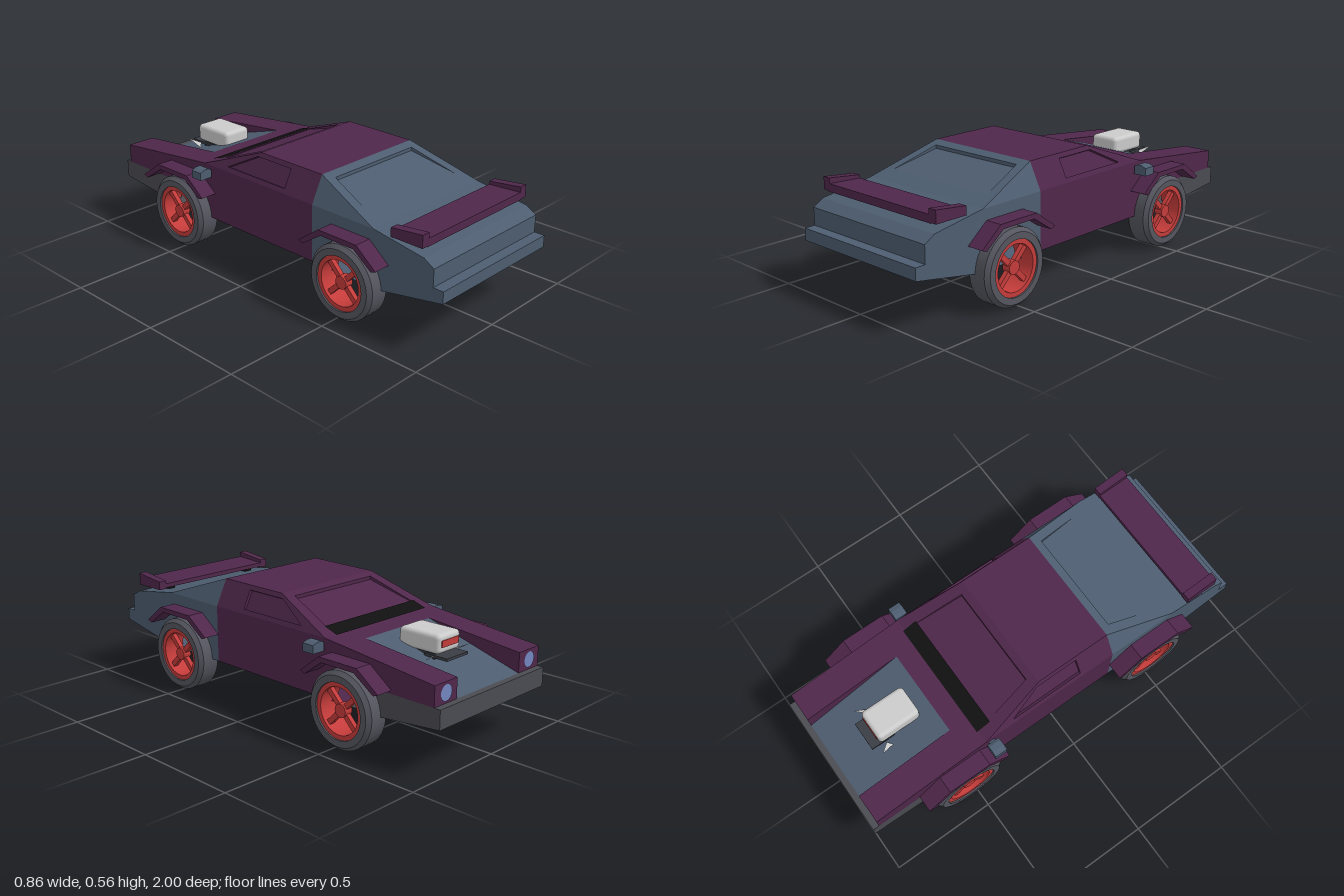
import * as THREE from 'three';
import { toCreasedNormals } from 'three/addons/utils/BufferGeometryUtils.js';
import { RoundedBoxGeometry } from 'three/addons/geometries/RoundedBoxGeometry.js';

const mat = (color) => new THREE.MeshStandardMaterial({ color, side: THREE.DoubleSide });
const purple = mat(0x4f274b), blue = mat(0x4d5d70), grey = mat(0x4b4c52), dark = mat(0x3a3d44),
  black = mat(0x111111), tyreMat = mat(0x55565f), red = mat(0xc43c3a), silver = mat(0xcccccc), lamp = mat(0x7286c0);

function add(parent, name, geometry, material, x = 0, y = 0, z = 0) {
  const mesh = new THREE.Mesh(geometry, material);
  mesh.name = name;
  mesh.position.set(x, y, z);
  parent.add(mesh);
  return mesh;
}

// flat faces from corner lists [x, y, z]
function faces(polygons) {
  const pos = [];
  for (const p of polygons)
    for (let i = 1; i < p.length - 1; i++) pos.push(...p[0], ...p[i], ...p[i + 1]);
  const g = new THREE.BufferGeometry();
  g.setAttribute('position', new THREE.Float32BufferAttribute(pos, 3));
  g.computeVertexNormals();
  return g;
}

// strip of quads following a [z, y] profile between two x values
const strip = (profile, x0, x1) => profile.slice(1).map(([z1, y1], i) => {
  const [z0, y0] = profile[i];
  return [[x0, y0, z0], [x0, y1, z1], [x1, y1, z1], [x1, y0, z0]];
});

// four-cornered panel with a sunken window; shift(i) moves the window floor corners
function windowPanel(outer, inner, shift) {
  const floor = inner.map((p, i) => p.map((v, k) => v + shift(i)[k]));
  const ring = (a, b) => a.map((p, i) => [p, a[(i + 1) % 4], b[(i + 1) % 4], b[i]]);
  return [...ring(outer, inner), ...ring(inner, floor), floor];
}

// side wall at x = 0.35 from a [z, y] outline
function wall(points) {
  const shape = new THREE.Shape(points.map(([z, y]) => new THREE.Vector2(-z, y)));
  return new THREE.ShapeGeometry(shape).rotateY(Math.PI / 2).translate(W, 0, 0);
}

// extrusion across x from a [z, y] outline
function acrossX(points, x0, x1) {
  const shape = new THREE.Shape(points.map(([z, y]) => new THREE.Vector2(-z, y)));
  return new THREE.ExtrudeGeometry(shape, { depth: x1 - x0, bevelEnabled: false })
    .rotateY(Math.PI / 2).translate(x0, 0, 0);
}

const W = 0.35, REAR = 0.517, FRONT = -0.53, AXLE = 0.172;
const arc = (zc, a0, a1, n = 14) => Array.from({ length: n + 1 }, (_, i) => {
  const a = a0 + (a1 - a0) * i / n;
  return [zc + 0.158 * Math.cos(a), 0.175 + 0.158 * Math.sin(a)];
});

function makeWheel(z) {
  const wheel = new THREE.Group();
  wheel.name = 'wheel';
  const lathe = (pts) => toCreasedNormals(new THREE.LatheGeometry(
    pts.map(([r, x]) => new THREE.Vector2(r, x)), 40).rotateZ(-Math.PI / 2), 0.5);
  add(wheel, 'tyre', lathe([[0.125, -0.06], [0.155, -0.06], [0.172, -0.042], [0.172, 0.042],
    [0.155, 0.06], [0.125, 0.06], [0.125, -0.06]]), tyreMat);
  add(wheel, 'rim', lathe([[0.104, -0.052], [0.127, -0.052], [0.127, 0.052], [0.104, 0.052], [0.104, -0.052]]), red);
  add(wheel, 'hub', new THREE.CylinderGeometry(0.03, 0.03, 0.04, 20).rotateZ(Math.PI / 2), red, 0.025);
  for (let i = 0; i < 2; i++)
    add(wheel, 'spoke', new THREE.BoxGeometry(0.022, 0.215, 0.024), red, 0.025).rotation.x = Math.PI / 4 + i * Math.PI / 2;
  wheel.position.set(0.36, AXLE, z);
  return wheel;
}

// everything that appears on both sides, built for +x
function makeSide() {
  const side = new THREE.Group();
  const cut = Math.asin(0.115 / 0.158);
  add(side, 'doorWall', wall([[0.3, 0.175], ...arc(FRONT, 0, Math.PI - cut),
    [-0.97, 0.29], [-0.97, 0.38], [-0.39, 0.44], [0.3, 0.44]]), purple);
  add(side, 'noseSkirt', wall([...arc(FRONT, Math.PI - cut, Math.PI, 6), [-1, 0.205], [-1, 0.29]]), grey);
  add(side, 'rearWall', wall([[0.3, 0.175], ...arc(REAR, Math.PI, 0), [1, 0.235], [1, 0.29],
    [0.95, 0.29], [0.95, 0.37], [0.9, 0.4], [0.64, 0.44], [0.3, 0.44]]), blue);

  // cabin side with window, and the rear pillar
  const onCabin = (z, y) => [0.29 + (0.56 - y) * 0.5, y, z];
  add(side, 'cabinSide', faces(windowPanel(
    [onCabin(0.3, 0.56), onCabin(0.3, 0.44), onCabin(-0.39, 0.44), onCabin(-0.07, 0.56)],
    [onCabin(0.125, 0.54), onCabin(0.125, 0.46), onCabin(-0.24, 0.46), onCabin(-0.085, 0.54)],
    () => [-0.012, -0.006, 0])), purple);
  add(side, 'rearPillar', faces([[[W, 0.44, 0.3], [0.29, 0.56, 0.3], [W, 0.44, 0.64]].reverse()]), blue);

  // hood rail beside the sunken hood panel, with its nose and lamp
  add(side, 'hoodRail', faces([
    ...strip([[-0.97, 0.29], [-0.97, 0.38], [-0.49, 0.43]], 0.21, W),
    [[0.21, 0.29, -0.97], [0.21, 0.38, -0.97], [0.21, 0.43, -0.49]]]), purple);
  add(side, 'headlamp', new THREE.CircleGeometry(0.035, 24).rotateY(Math.PI), lamp, 0.28, 0.335, -0.973);

  // wheel flares
  for (const zc of [0.51, -0.54])
    add(side, 'wheelFlare', acrossX([[0.215, 0.305], [0.11, 0.388], [-0.1, 0.388], [-0.215, 0.305],
      [-0.19, 0.295], [-0.085, 0.365], [0.095, 0.365], [0.19, 0.295]].map(([z, y]) => [zc + z, y]), 0.34, 0.43), purple);

  // mirror with clipped upper corners
  const m = new THREE.Shape([[0.36, 0.388], [0.425, 0.388], [0.425, 0.425], [0.4, 0.434], [0.375, 0.434], [0.36, 0.425]]
    .map(([x, y]) => new THREE.Vector2(x, y)));
  add(side, 'mirror', new THREE.ExtrudeGeometry(m, { depth: 0.06, bevelEnabled: false }), blue, 0, 0, -0.395);
  add(side, 'mirrorArm', new THREE.BoxGeometry(0.03, 0.018, 0.03), blue, 0.355, 0.405, -0.365);

  // spoiler end plate and strut, scoop fin
  add(side, 'spoilerEnd', acrossX([[0.73, 0.475], [0.89, 0.493], [0.89, 0.435], [0.73, 0.435]], 0.31, W), purple);
  add(side, 'spoilerStrut', new THREE.BoxGeometry(0.036, 0.05, 0.06), black, 0.252, 0.415, 0.79);
  add(side, 'scoopFin', faces([[[0.08, 0.38, -0.74], [0.12, 0.4, -0.785], [0.1, 0.36, -0.72]]]), silver);

  side.add(makeWheel(REAR), makeWheel(FRONT));
  return side;
}

export function createModel() {
  const car = new THREE.Group();
  car.name = 'car';
  const left = makeSide(), right = makeSide();
  left.name = 'leftSide';
  right.name = 'rightSide';
  right.scale.x = -1;
  car.add(left, right);

  // centre surfaces running along the body
  add(car, 'roof', faces(strip([[-0.07, 0.56], [0.3, 0.56]], -0.29, 0.29)), purple);
  add(car, 'cowl', faces(strip([[-0.49, 0.43], [-0.39, 0.44]], -W, W)), purple);
  add(car, 'hoodPanel', faces(strip([[-0.97, 0.29], [-0.49, 0.43]], -0.21, 0.21)), blue);
  add(car, 'floor', faces(strip([[0.3, 0.175], [-0.5, 0.175]], -W, W)), purple);
  add(car, 'frontBumper', faces(strip([[-0.5, 0.175], [-0.65, 0.183], [-1, 0.205], [-1, 0.29], [-0.97, 0.29]], -W, W)), grey);
  add(car, 'rearBody', faces(strip([[0.64, 0.44], [0.9, 0.4], [0.95, 0.37], [0.95, 0.29], [1, 0.29],
    [1, 0.235], [0.66, 0.175], [0.3, 0.175]], -W, W)), blue);

  // rear window and windshield, sunken at the top edge
  const tailY = (z) => 0.56 - (z - 0.3) * 0.12 / 0.34, screenY = (z) => 0.56 + (z + 0.07) * 0.375;
  add(car, 'rearWindow', faces(windowPanel(
    [[-0.29, 0.56, 0.3], [-W, 0.44, 0.64], [W, 0.44, 0.64], [0.29, 0.56, 0.3]],
    [[-0.25, tailY(0.34), 0.34], [-0.29, tailY(0.56), 0.56], [0.29, tailY(0.56), 0.56], [0.25, tailY(0.34), 0.34]],
    (i) => [0, i % 3 ? 0 : -0.016, 0])), blue);
  add(car, 'windshield', faces(windowPanel(
    [[-W, 0.44, -0.39], [-0.29, 0.56, -0.07], [0.29, 0.56, -0.07], [W, 0.44, -0.39]],
    [[-0.28, screenY(-0.33), -0.33], [-0.245, screenY(-0.105), -0.105], [0.245, screenY(-0.105), -0.105], [0.28, screenY(-0.33), -0.33]],
    (i) => [0, i % 3 ? -0.016 : -0.004, 0])), purple);
  add(car, 'windshieldSlot', faces(strip([[-0.4, 0.443], [-0.33, 0.466]], -0.29, 0.29)), black);

  // spoiler blade
  add(car, 'spoilerBlade', acrossX([[0.73, 0.46], [0.89, 0.468], [0.89, 0.432], [0.73, 0.44]], -0.32, 0.32), purple);

  // engine scoop on the hood
  add(car, 'scoopNeck', new THREE.BoxGeometry(0.12, 0.09, 0.17), dark, 0, 0.365, -0.65);
  add(car, 'scoopPlate', new THREE.BoxGeometry(0.14, 0.012, 0.12), dark, 0, 0.375, -0.75);
  add(car, 'scoop', new RoundedBoxGeometry(0.15, 0.085, 0.215, 3, 0.02), silver, 0, 0.428, -0.66);
  add(car, 'scoopMouth', new THREE.BoxGeometry(0.11, 0.03, 0.01), red, 0, 0.43, -0.766);
  return car;
}
